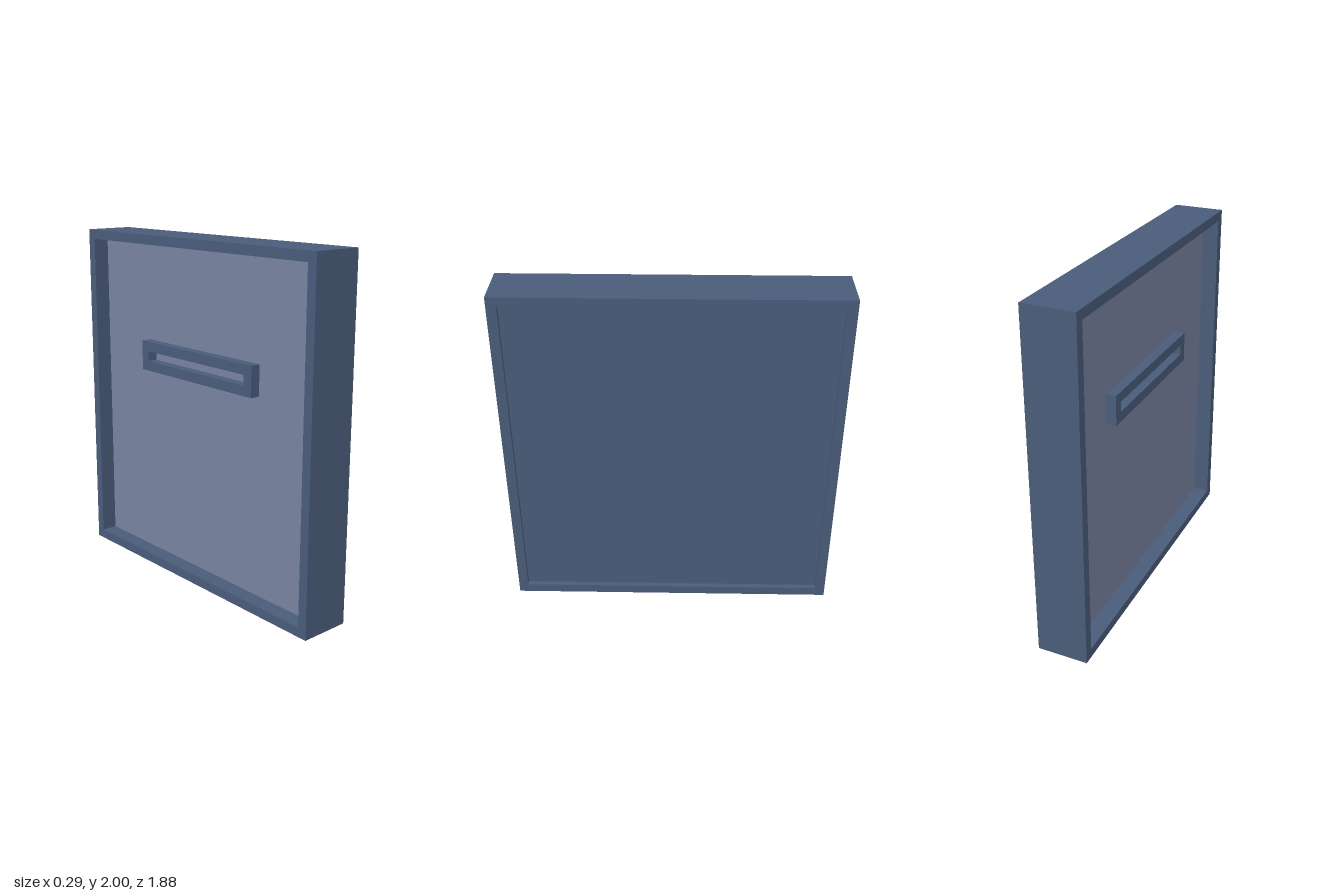
import * as THREE from 'three';

const DEPTH = 0.294, WIDTH = 1.884, HEIGHT = 2, RIM = 0.055;
const PANEL_BACK = -0.052, PANEL_FRONT = 0.118;

// Rectangular ring lying in the z-y plane, spanning x0 to x1
function ring(width, height, rim, x0, x1) {
  const rect = (Type, w, h) => new Type([
    new THREE.Vector2(-w / 2, -h / 2), new THREE.Vector2(w / 2, -h / 2),
    new THREE.Vector2(w / 2, h / 2), new THREE.Vector2(-w / 2, h / 2),
  ]);
  const shape = rect(THREE.Shape, width, height);
  shape.holes.push(rect(THREE.Path, width - 2 * rim, height - 2 * rim));
  const geometry = new THREE.ExtrudeGeometry(shape, { depth: x1 - x0, bevelEnabled: false });
  return geometry.rotateY(Math.PI / 2).translate(x0, 0, 0);
}

export function createModel() {
  const group = new THREE.Group();
  const blue = new THREE.MeshStandardMaterial({ name: 'slate blue', color: 0x4a5c7a });
  const grey = new THREE.MeshStandardMaterial({ name: 'pale blue grey', color: 0x7883a0 });

  const add = (name, geometry, material, y) => {
    const mesh = new THREE.Mesh(geometry, material);
    mesh.name = name;
    mesh.position.y = y;
    group.add(mesh);
  };

  // Outer rim, open on both broad sides
  add('frame', ring(WIDTH, HEIGHT, RIM, -DEPTH / 2, DEPTH / 2), blue, HEIGHT / 2);

  // Recessed panel: blue outside, grey inside (box material order: +x, -x, +y, -y, +z, -z)
  const panel = new THREE.BoxGeometry(PANEL_FRONT - PANEL_BACK, HEIGHT - 2 * RIM, WIDTH - 2 * RIM);
  panel.translate((PANEL_FRONT + PANEL_BACK) / 2, 0, 0);
  add('panel', panel, [blue, grey, blue, blue, blue, blue], HEIGHT / 2);

  // Slotted handle on the inner side of the panel
  add('handle', ring(0.942, 0.174, 0.058, PANEL_BACK - 0.058, PANEL_BACK), blue, 1.288);

  return group;
}
